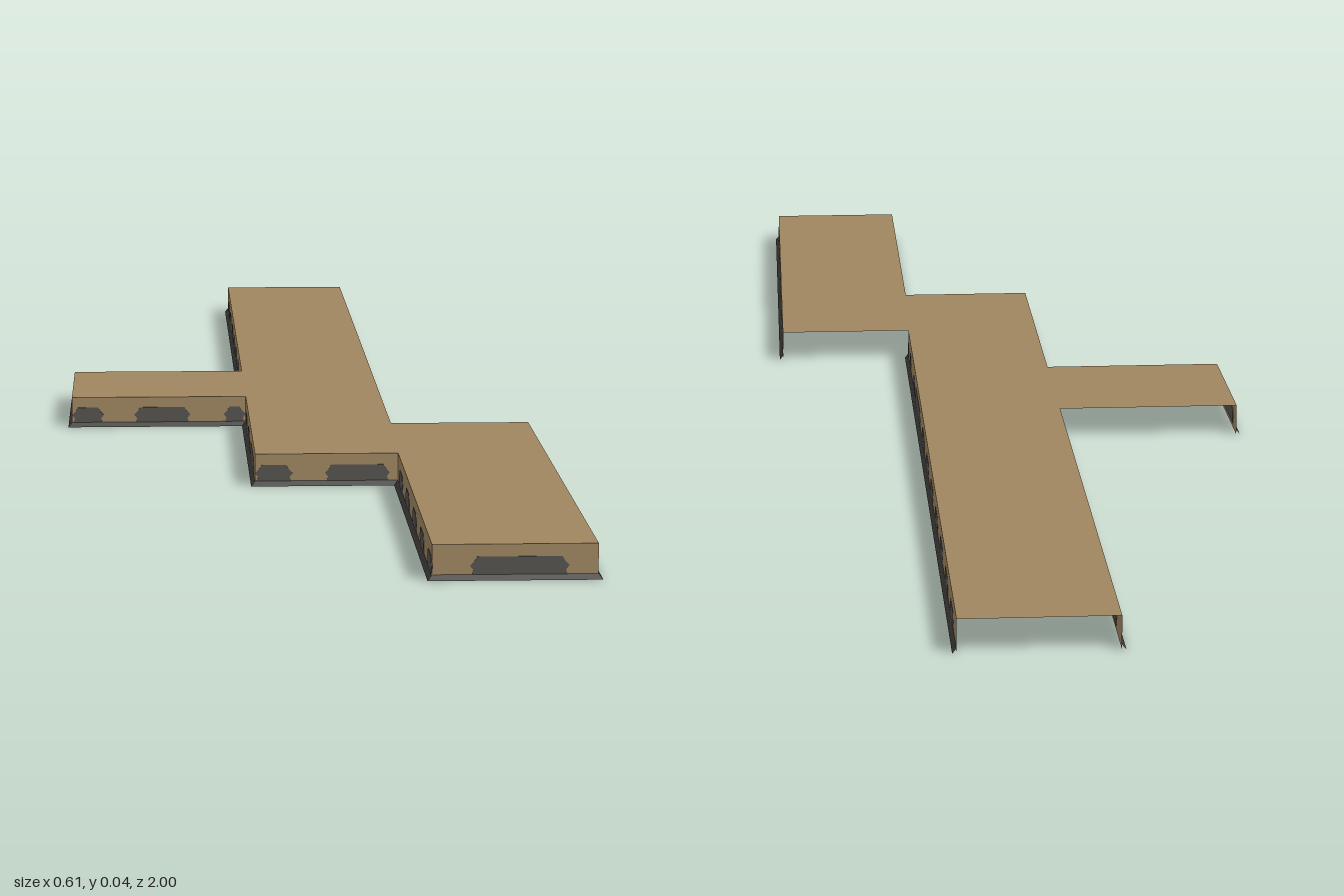
import * as THREE from 'three';

const TOP = 0.04;   // deck height
const LIP = 0.005;  // outward flare of the footing

function mat(name, color) {
  const m = new THREE.MeshStandardMaterial({ color, side: THREE.DoubleSide });
  m.name = name;
  return m;
}

// Flat outline -> shape geometry in the local xy plane
function flat(points) {
  return new THREE.ShapeGeometry(new THREE.Shape(points.map(([x, y]) => new THREE.Vector2(x, y))));
}

// Evenly spaced openings along a wall
function spaced(first, step, width, count) {
  return Array.from({ length: count }, (_, i) => [first + i * step, first + i * step + width]);
}

// Ragged-edged dark patch, thin enough to sit in the wall and show on both sides
function patchGeometry([a, b]) {
  const ys = [0.006, 0.011, 0.016, 0.021, 0.026];
  const inset = [0.002, 0.004, 0, 0.005, 0.008];
  const left = [], right = [];
  ys.forEach((y, i) => {
    left.push([a + inset[i], y]);
    right.push([b - inset[i], y]);
  });
  const shape = new THREE.Shape([...right, ...left.reverse()].map(([x, y]) => new THREE.Vector2(x, y)));
  const g = new THREE.ExtrudeGeometry(shape, { depth: 0.0016, bevelEnabled: false });
  g.translate(0, 0, -0.0008);
  return g;
}

export function createModel() {
  const model = new THREE.Group();
  model.name = 'walkway';
  const tan = mat('tan sand', 0xa08660);
  const grey = mat('dark grey stone', 0x555350);
  const dark = mat('charcoal footing', 0x3b3a38);

  // Deck: one stepped outline, given as x and z
  const outline = [
    [-0.065, -1], [0.118, -1], [0.118, 0.25], [0.297, 0.25], [0.297, 0.995], [0.113, 0.995],
    [0.113, 0.458], [-0.065, 0.458], [-0.065, 0.04], [-0.3, 0.04], [-0.3, -0.17], [-0.065, -0.17],
  ];
  const deckGeo = flat(outline.map(([x, z]) => [x, -z]));
  deckGeo.rotateX(-Math.PI / 2);
  const deck = new THREE.Mesh(deckGeo, tan);
  deck.name = 'deck';
  deck.position.y = TOP;
  model.add(deck);

  // Side walls: local x runs along the wall, local z points outward.
  // s0 and s1 mitre the footing: 1 outer corner, -1 inner corner, 0 open end.
  function addWall(name, x, z, turn, length, s0, s1, patches) {
    const wall = new THREE.Group();
    wall.name = name;
    wall.position.set(x, 0, z);
    wall.rotation.y = turn * Math.PI / 2;

    const panel = new THREE.Mesh(flat([[0, 0], [length, 0], [length, TOP], [0, TOP]]), tan);
    panel.name = 'wallPanel';
    wall.add(panel);

    // Sloping footing strip
    const geo = new THREE.BufferGeometry();
    geo.setAttribute('position', new THREE.Float32BufferAttribute([
      -s0 * LIP, 0, LIP, length + s1 * LIP, 0, LIP, length, 0.006, 0.0002, 0, 0.006, 0.0002,
    ], 3));
    geo.setIndex([0, 1, 2, 0, 2, 3]);
    geo.computeVertexNormals();
    const footing = new THREE.Mesh(geo, dark);
    footing.name = 'footing';
    wall.add(footing);

    for (const p of patches) {
      const patch = new THREE.Mesh(patchGeometry(p), grey);
      patch.name = 'stonePatch';
      wall.add(patch);
    }
    model.add(wall);
  }

  // Front-facing walls
  addWall('armFrontWall', -0.3, 0.04, 0, 0.235, 1, -1, [[0, 0.043], [0.084, 0.16], [0.205, 0.235]]);
  addWall('middleFrontWall', -0.065, 0.458, 0, 0.178, 1, -1, [[0, 0.047], [0.087, 0.168]]);
  addWall('endFrontWall', 0.113, 0.995, 0, 0.184, 1, 1, [[0.042, 0.152]]);

  // Walls facing +x
  addWall('frontLeftWall', 0.297, 0.995, 1, 0.745, 1, 0,
    [...spaced(0.01, 0.113, 0.058, 5), [0.575, 0.71]]);
  addWall('longLeftWall', 0.118, 0.25, 1, 1.25, 0, 0,
    [[0.005, 0.025], [0.065, 0.1], [0.18, 0.215], [0.245, 0.38], ...spaced(0.44, 0.115, 0.06, 7)]);

  // Walls facing -x
  addWall('longRightWall', -0.065, -1, -1, 0.83, 0, 0, spaced(0.06, 0.115, 0.06, 7));
  addWall('armEndWall', -0.3, -0.17, -1, 0.21, 0, 1, [[0.03, 0.16]]);
  addWall('middleRightWall', -0.065, 0.04, -1, 0.418, -1, 1, [[0.03, 0.09], [0.14, 0.2], [0.25, 0.385]]);
  addWall('frontRightWall', 0.113, 0.458, -1, 0.537, -1, 1, spaced(0.03, 0.113, 0.058, 5));

  return model;
}
